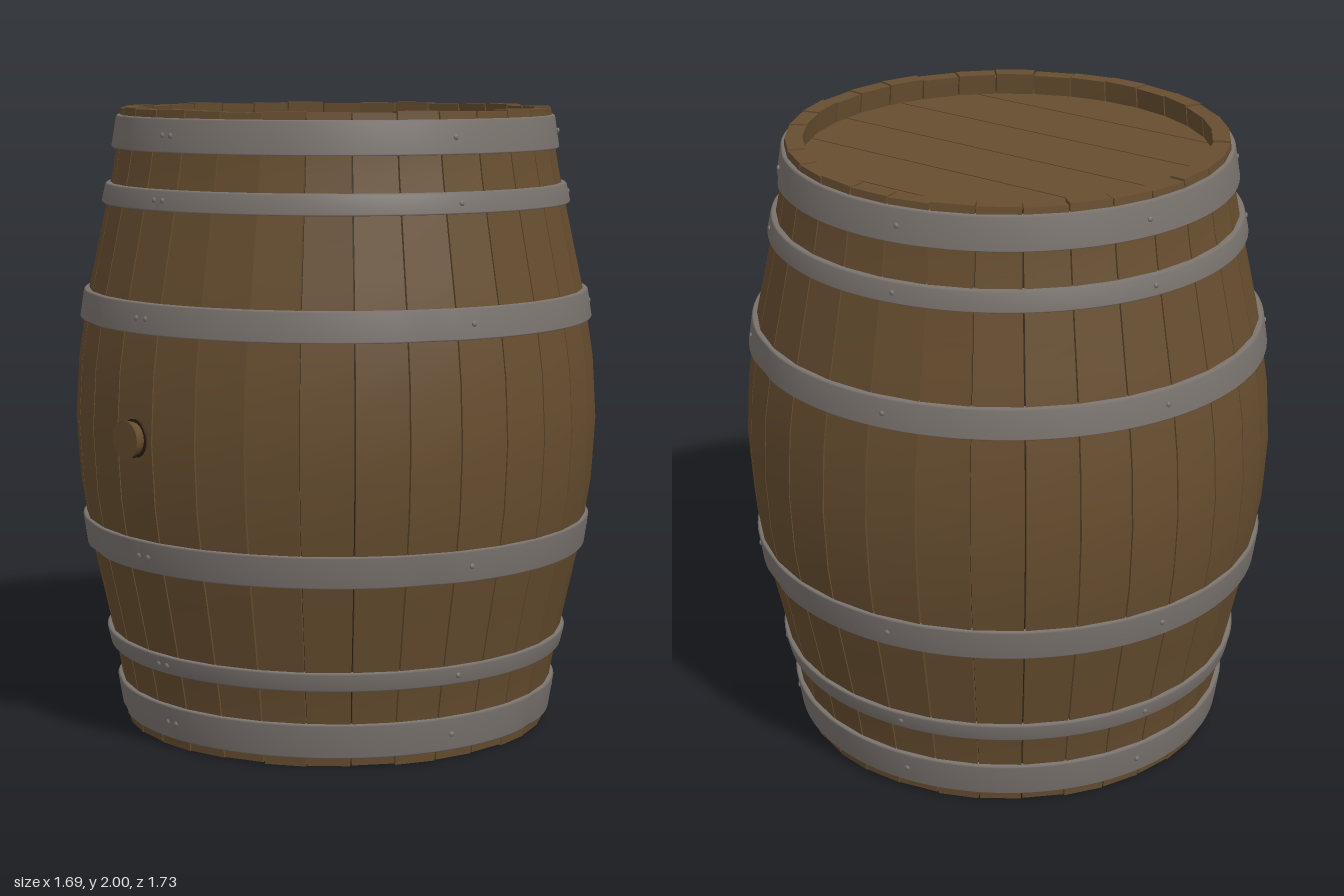
import * as THREE from 'three';

const STAVES = 32;
const wood = new THREE.MeshStandardMaterial({ color: 0x664d2f });
wood.name = 'wood';
const metal = new THREE.MeshStandardMaterial({ color: 0x7a736e });
metal.name = 'hoop metal';
const seam = new THREE.MeshStandardMaterial({ color: 0x2a1e12 });
seam.name = 'dark seam';

// Barrel radius by height, mirrored about the middle
const PROFILE = [[0, 0.693], [0.14, 0.708], [0.3, 0.742], [0.45, 0.774], [0.6, 0.807], [0.8, 0.838], [1, 0.85]];
function radiusAt(y) {
  const h = Math.max(0, y > 1 ? 2 - y : y);
  for (let i = 1; i < PROFILE.length; i++) {
    const [y0, r0] = PROFILE[i - 1], [y1, r1] = PROFILE[i];
    if (h <= y1) return r0 + (r1 - r0) * (h - y0) / (y1 - y0);
  }
  return 0.85;
}

function add(parent, name, geometry, material) {
  const mesh = new THREE.Mesh(geometry, material);
  mesh.name = name;
  parent.add(mesh);
  return mesh;
}

// Bend a subdivided box into one curved, wedge-shaped stave
function staveGeometry(angle, index) {
  const g = new THREE.BoxGeometry(1, 2, 1, 1, 20, 1);
  const p = g.attributes.position;
  const trim = 0.005 * (index * 7 % 3) / 2;
  for (let i = 0; i < p.count; i++) {
    const y = Math.min(2 - trim, Math.max(trim, p.getY(i) + 1));
    const r = radiusAt(y) - (p.getZ(i) > 0 ? 0 : 0.055);
    const a = angle + p.getX(i) * (2 * Math.PI / STAVES - 0.005 / r);
    p.setXYZ(i, Math.sin(a) * r, y, Math.cos(a) * r);
  }
  g.computeVertexNormals();
  return g;
}

// Hoop band with sharp edges; dents push the surface in near given angles
function hoopGeometry(y0, y1, r0, r1, dents) {
  const inner = 0.025, b = 0.005;
  const ring = [[r0 - inner, y0], [r0 - b, y0], [r0, y0 + b], [r1, y1 - b], [r1 - b, y1], [r1 - inner, y1]];
  const g = new THREE.LatheGeometry(ring.map(([r, y]) => new THREE.Vector2(r, y)), 96);
  const p = g.attributes.position;
  for (let i = 0; i < p.count; i++) {
    const x = p.getX(i), z = p.getZ(i), y = p.getY(i);
    const a = Math.atan2(x, z);
    let push = 0;
    for (const d of dents) {
      const t = (a - d) / 0.07, s = (y - y0) / (y1 - y0) - 0.3;
      push += 0.009 * Math.exp(-t * t - s * s * 2);
    }
    const k = 1 - push / Math.hypot(x, z);
    p.setXYZ(i, x * k, y, z * k);
  }
  g.computeVertexNormals();
  return g;
}

// Round head made of parallel planks, lying at the given height
function buildHead(name) {
  const head = new THREE.Group();
  head.name = name;
  const R = 0.66, cuts = [-R, -0.473, -0.238, -0.008, 0.227, 0.457, R];
  for (let i = 0; i < cuts.length - 1; i++) {
    const a0 = Math.asin((cuts[i] + (i ? 0.003 : 0)) / R);
    const a1 = Math.asin((cuts[i + 1] - (i < 5 ? 0.003 : 0)) / R);
    const s = new THREE.Shape();
    s.absarc(0, 0, R, a0, a1, false);
    s.absarc(0, 0, R, Math.PI - a1, Math.PI - a0, false);
    const g = new THREE.ExtrudeGeometry(s, { depth: 0.04, bevelEnabled: false, curveSegments: 16 });
    // Shape y becomes +z, plank top at y = 0
    g.rotateX(Math.PI / 2);
    add(head, 'headPlank', g, wood);
  }
  const backing = add(head, 'headSeams', new THREE.CircleGeometry(R, 48).rotateX(-Math.PI / 2), seam);
  backing.position.y = -0.02;
  return head;
}

export function createModel() {
  const model = new THREE.Group();
  model.name = 'barrel';
  const body = new THREE.Group();
  body.name = 'barrelBody';
  body.position.z = -0.017;
  model.add(body);

  // Staves
  for (let i = 0; i < STAVES; i++) {
    add(body, 'stave', staveGeometry(i * 2 * Math.PI / STAVES, i), wood);
  }

  // Dark core seen through the seams
  const core = [];
  for (let i = 0; i <= 20; i++) {
    const y = 0.02 + 1.96 * i / 20;
    core.push(new THREE.Vector2(radiusAt(y) - 0.022, y));
  }
  add(body, 'staveSeams', new THREE.LatheGeometry(core, STAVES), seam);

  // Heads, recessed inside the rims
  const top = buildHead('topHead');
  top.position.y = 1.93;
  const bottom = buildHead('bottomHead');
  bottom.position.y = 0.07;
  bottom.rotation.z = Math.PI;
  body.add(top, bottom);

  // Hoops and rivets: bottom, top, lower radius, upper radius, dents
  const hoops = [
    [0.03, 0.14, 0.709, 0.725, [-0.55, 1.9]],
    [0.25, 0.31, 0.746, 0.758, []],
    [0.585, 0.685, 0.819, 0.832, [-0.41, 1.16, 2.6]],
    [1.325, 1.42, 0.832, 0.819, [-0.41, 1.16, 2.6]],
    [1.695, 1.76, 0.758, 0.746, []],
    [1.87, 1.975, 0.725, 0.709, [-0.4, 2.3]],
  ];
  const rivetGeometry = new THREE.SphereGeometry(0.009, 8, 6);
  for (const [y0, y1, r0, r1, dents] of hoops) {
    add(body, 'hoop', hoopGeometry(y0, y1, r0, r1, dents), metal);
    const r = (r0 + r1) / 2, y = (y0 + y1) / 2;
    for (const a of [-0.012, 0.04, 1.34, 2.36, 3.3, -1.9, -0.95]) {
      const rivet = add(body, 'rivet', rivetGeometry, metal);
      rivet.position.set(Math.sin(a) * r, y, Math.cos(a) * r);
      rivet.rotation.y = a;
      rivet.scale.z = 0.6;
    }
  }

  // Bung on the front
  const bung = add(model, 'bung', new THREE.CylinderGeometry(0.06, 0.045, 0.06, 20), wood);
  bung.rotation.x = Math.PI / 2;
  bung.position.set(0, 1.005, 0.837);
  const ring = add(model, 'bungSeam', new THREE.CylinderGeometry(0.06, 0.06, 0.008, 20), seam);
  ring.rotation.x = Math.PI / 2;
  ring.position.set(0, 1.005, 0.829);
  return model;
}
